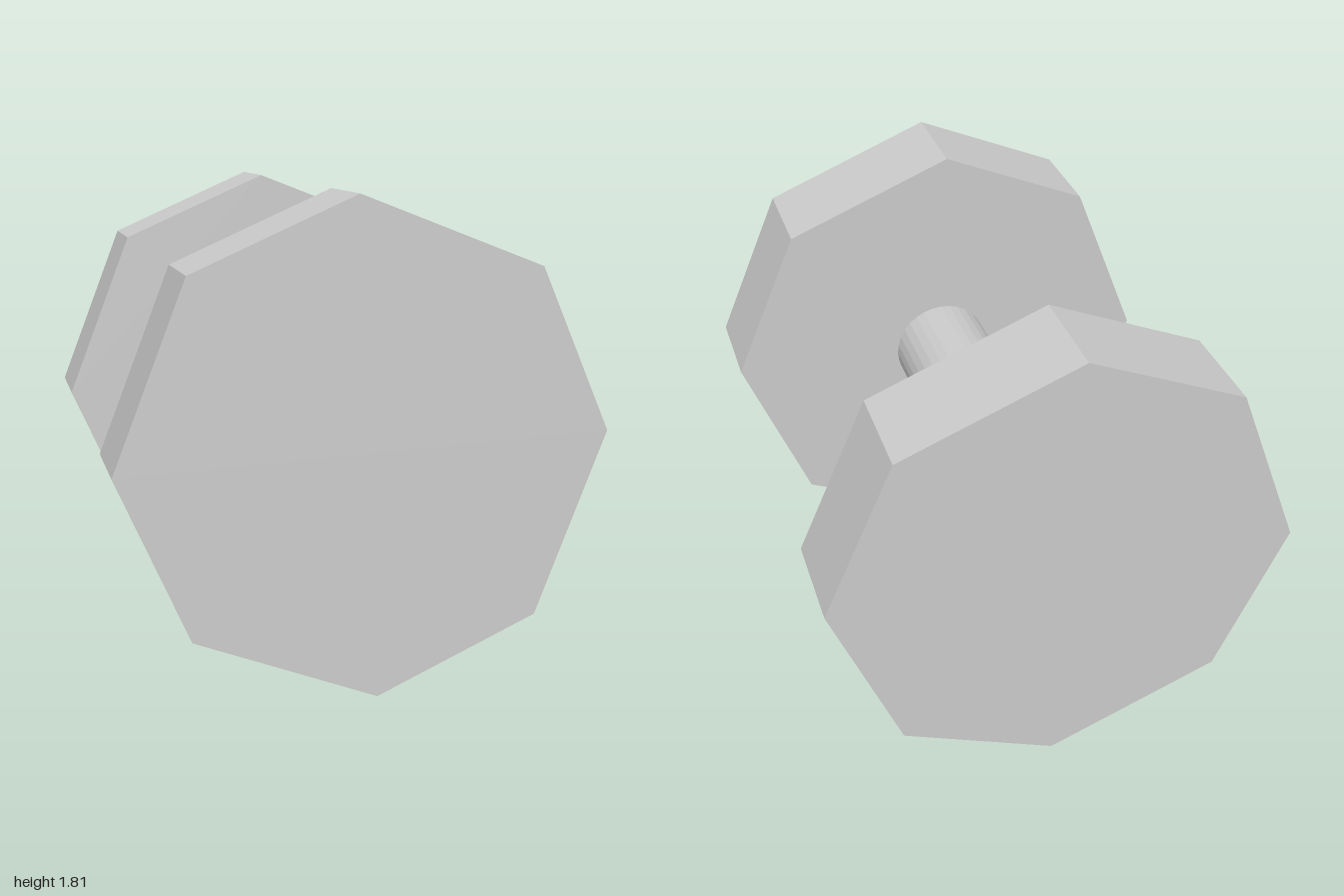
import * as THREE from 'three';

export function createModel() {
  const model = new THREE.Group();
  model.name = 'dumbbell';
  const material = new THREE.MeshStandardMaterial({ color: 0xcccccc, flatShading: true });

  // Slightly skewed octagon: corners on the axes are turned a little
  const half = [[-0.037, 0.898], [-0.632, 0.637], [-0.895, -0.037], [-0.632, -0.637]];
  const outline = [...half, ...half.map(([x, y]) => [-x, -y])];
  const octagon = new THREE.Shape(outline.map(([x, y]) => new THREE.Vector2(x, y)));

  // Weights at both ends
  const inner = 0.607, thickness = 0.385;
  for (const side of [1, -1]) {
    const geometry = new THREE.ExtrudeGeometry(octagon, { depth: thickness, bevelEnabled: false });
    geometry.translate(0, 0, side > 0 ? inner : -inner - thickness);
    const weight = new THREE.Mesh(geometry, material);
    weight.name = side > 0 ? 'frontWeight' : 'backWeight';
    model.add(weight);
  }

  // Round handle between the weights
  const handle = new THREE.Mesh(
    new THREE.CylinderGeometry(0.2, 0.2, inner * 2, 32, 1, true).rotateX(Math.PI / 2), material);
  handle.name = 'handle';
  model.add(handle);

  // Whole piece rests with a very slight tilt
  model.rotation.x = -0.0085;
  model.position.y = 0.907;
  const root = new THREE.Group();
  root.add(model);
  return root;
}
